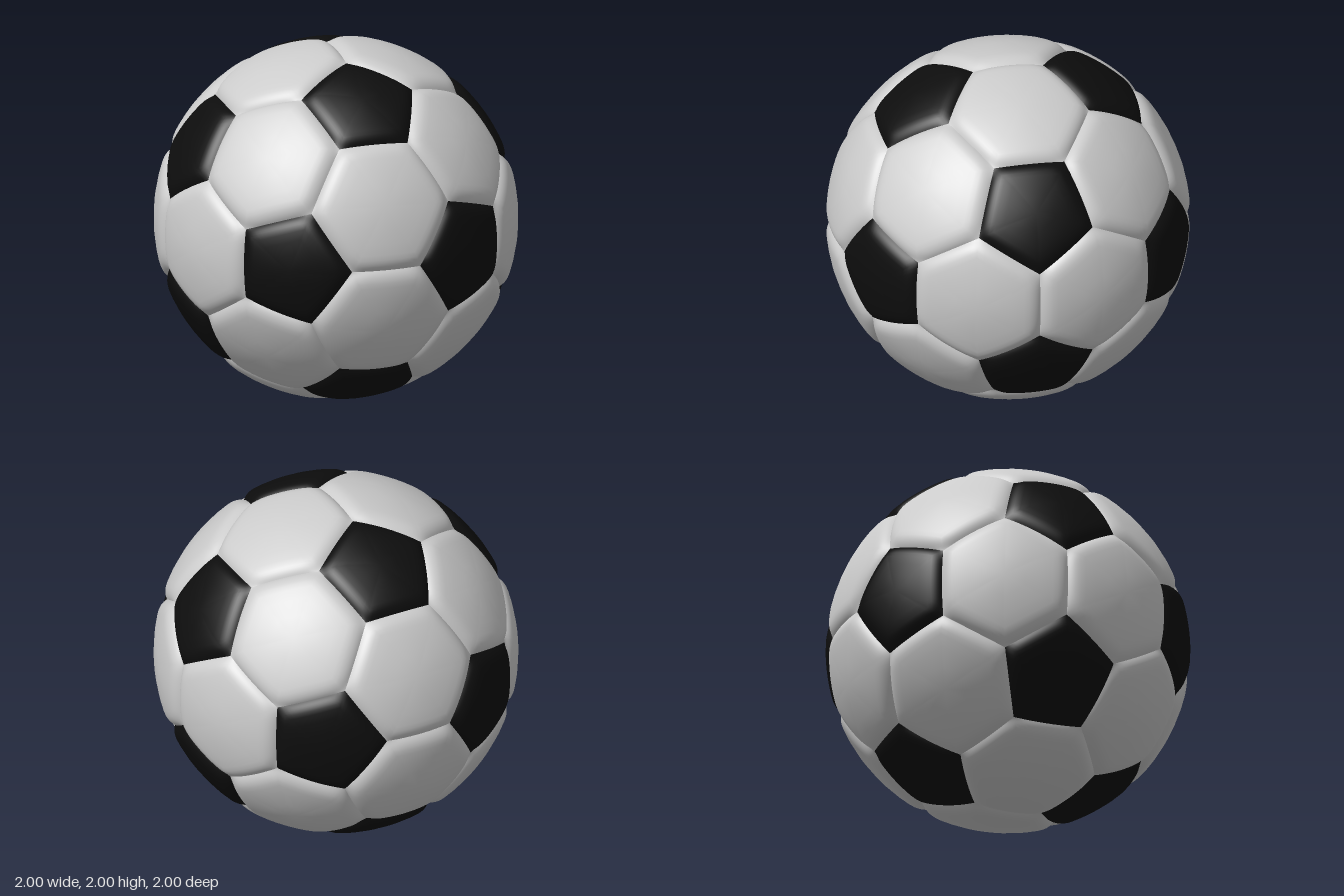
import * as THREE from 'three';

const SEAM = 0.973;      // radius along the seams
const PUFF = 0.031;      // how far a panel swells above its seams
const ROLL = 0.11;       // width of the rounded border of a panel
const RINGS = [0.3, 0.55, 0.72, 0.8, 0.85, 0.89, 0.92, 0.945, 0.965, 0.985, 1];
const STEPS = 14;        // divisions along each panel side

// Orders corners counter-clockwise as seen from outside the ball.
function sortAround(corners, centre) {
  const axis = centre.clone().normalize();
  const u = corners[0].clone().projectOnPlane(axis).normalize();
  const w = axis.clone().cross(u);
  const angle = (p) => Math.atan2(p.dot(w), p.dot(u));
  return corners.sort((a, b) => angle(a) - angle(b));
}

// A puffed spherical polygon, built as concentric rings around its centre.
function panelGeometry(points) {
  const centre = points.reduce((s, p) => s.add(p), new THREE.Vector3()).divideScalar(points.length);
  const corners = sortAround(points, centre);
  const sides = corners.length;
  const planes = corners.map((p, i) => p.clone().cross(corners[(i + 1) % sides]).normalize());
  const position = [];
  const index = [];

  const addPoint = (flat) => {
    const dir = flat.clone().normalize();
    let height = PUFF;
    for (const n of planes) {
      const t = THREE.MathUtils.clamp(dir.dot(n) / ROLL, 0, 1);
      height *= 1 - (1 - t) ** 3;
    }
    dir.multiplyScalar(SEAM + height);
    position.push(dir.x, dir.y, dir.z);
  };

  addPoint(centre);
  const count = sides * STEPS;
  RINGS.forEach((scale, r) => {
    for (let k = 0; k < count; k++) {
      const side = Math.floor(k / STEPS);
      const rim = corners[side].clone().lerp(corners[(side + 1) % sides], (k % STEPS) / STEPS);
      addPoint(centre.clone().lerp(rim, scale));
      const next = (k + 1) % count;
      const outer = 1 + r * count;
      const inner = outer - count;
      if (r === 0) index.push(0, outer + k, outer + next);
      else index.push(inner + k, outer + k, outer + next, inner + k, outer + next, inner + next);
    }
  });

  const geometry = new THREE.BufferGeometry();
  geometry.setAttribute('position', new THREE.Float32BufferAttribute(position, 3));
  geometry.setIndex(index);
  geometry.computeVertexNormals();
  return geometry;
}

export function createModel() {
  const model = new THREE.Group();
  model.name = 'football';
  const grey = new THREE.MeshStandardMaterial({ color: 0xcccccc });
  const black = new THREE.MeshStandardMaterial({ color: 0x0d0d0d });

  // Icosahedron corners; cutting each edge in thirds gives the panel corners.
  const phi = (1 + Math.sqrt(5)) / 2;
  const tips = [];
  for (const a of [-1, 1]) {
    for (const b of [-phi, phi]) {
      tips.push(new THREE.Vector3(a, 0, b), new THREE.Vector3(0, b, a), new THREE.Vector3(b, a, 0));
    }
  }
  const joined = (a, b) => Math.abs(a.distanceTo(b) - 2) < 0.01;
  const third = (a, b) => a.clone().lerp(b, 1 / 3);

  const addPanel = (name, points, material) => {
    const mesh = new THREE.Mesh(panelGeometry(points), material);
    mesh.name = name;
    mesh.position.y = 1;
    model.add(mesh);
  };

  // Black pentagons, one at each tip
  tips.forEach((tip) => {
    addPanel('pentagonPanel', tips.filter((t) => joined(t, tip)).map((t) => third(tip, t)), black);
  });

  // Grey hexagons, one for each triple of neighbouring tips
  tips.forEach((a, i) => tips.forEach((b, j) => tips.forEach((c, k) => {
    if (i < j && j < k && joined(a, b) && joined(b, c) && joined(a, c)) {
      addPanel('hexagonPanel',
        [third(a, b), third(b, a), third(b, c), third(c, b), third(c, a), third(a, c)], grey);
    }
  })));

  return model;
}
